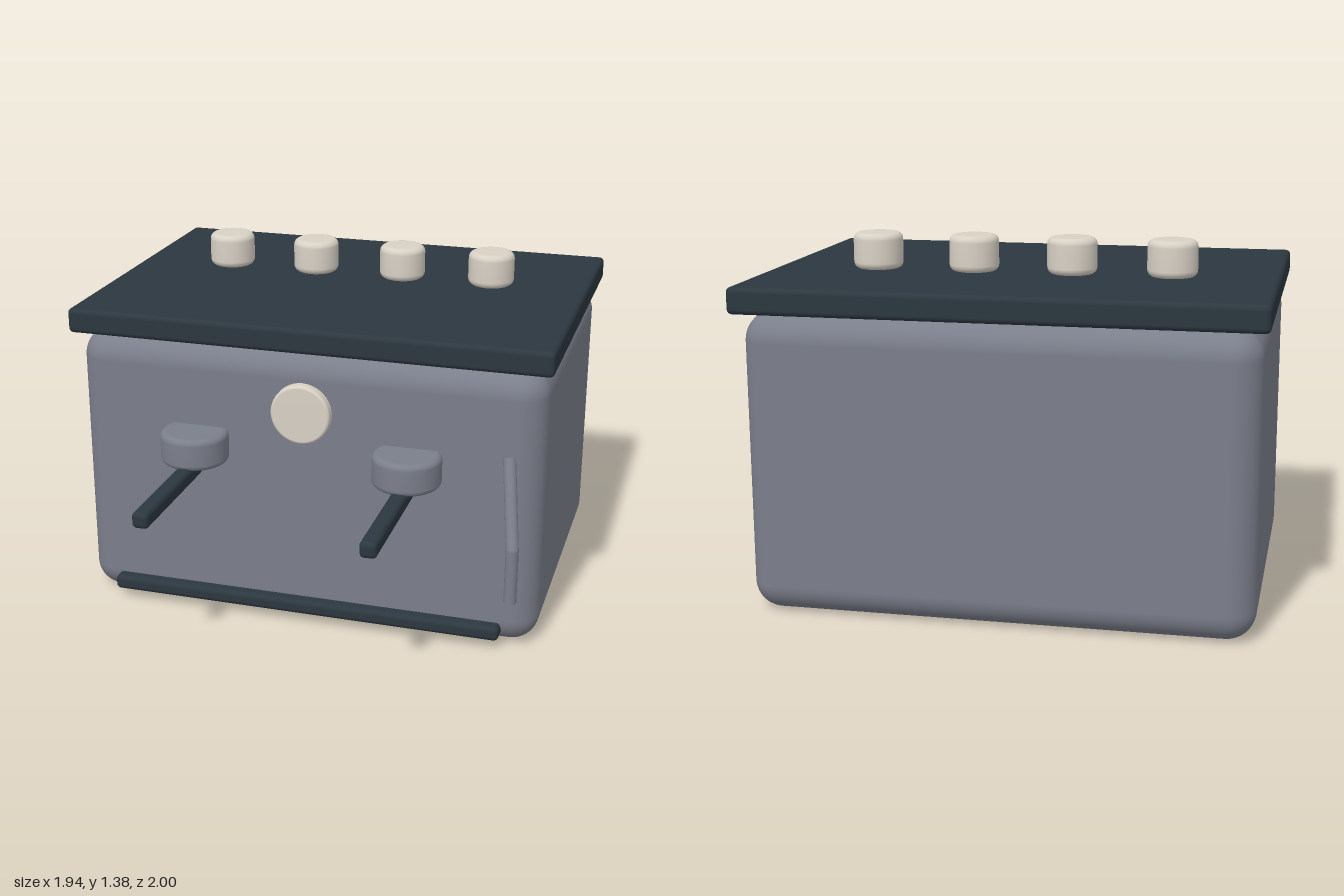
import * as THREE from 'three';
import { RoundedBoxGeometry } from 'three/addons/geometries/RoundedBoxGeometry.js';

const material = (name, color) => {
  const m = new THREE.MeshStandardMaterial({ color });
  m.name = name;
  return m;
};

// Box given by its limits on each axis, with rounded edges
function roundedBox([x0, x1], [y0, y1], [z0, z1], radius, segments = 3) {
  const g = new RoundedBoxGeometry(x1 - x0, y1 - y0, z1 - z0, segments, radius);
  return g.translate((x0 + x1) / 2, (y0 + y1) / 2, (z0 + z1) / 2);
}

// Upright cylinder standing on y = 0, with quarter-round rims
function roundedCylinder(radius, height, bevel) {
  const points = [new THREE.Vector2(0, 0)];
  for (const [y, start] of [[bevel, -Math.PI / 2], [height - bevel, 0]]) {
    for (let i = 0; i <= 4; i++) {
      const a = start + (i / 4) * (Math.PI / 2);
      points.push(new THREE.Vector2(radius - bevel + Math.cos(a) * bevel, y + Math.sin(a) * bevel));
    }
  }
  points.push(new THREE.Vector2(0, height));
  return new THREE.LatheGeometry(points, 40);
}

export function createModel() {
  const model = new THREE.Group();
  model.name = 'espressoMachine';
  const grey = material('steel grey', 0x7b7f8b);
  const dark = material('dark slate', 0x2c373f);
  const cream = material('cream', 0xd8d1c5);

  const add = (name, geometry, mat, parent = model) => {
    const mesh = new THREE.Mesh(geometry, mat);
    mesh.name = name;
    parent.add(mesh);
    return mesh;
  };

  // Housing, top plate and drip tray
  add('body', roundedBox([-0.945, 0.945], [0, 1.14], [-0.97, 0.38], 0.11, 6), grey);
  add('topPlate', roundedBox([-0.97, 0.97], [1.14, 1.24], [-1, 0.4], 0.02), dark);
  add('dripTray', roundedBox([-0.81, 0.81], [0.04, 0.1], [0.2, 0.43], 0.02), dark);

  // Row of cups on the top plate
  for (let i = 0; i < 4; i++) {
    add('cup', roundedCylinder(0.095, 0.14, 0.026), cream)
      .position.set(-0.57 + i * 0.38, 1.24, -0.43);
  }

  // Round gauge on the front
  const gauge = add('gauge', roundedCylinder(0.12, 0.06, 0.012), cream);
  gauge.rotation.x = Math.PI / 2;
  gauge.position.set(0, 0.9, 0.36);

  // Brew heads with their long handles
  for (const side of [-1, 1]) {
    const brewGroup = new THREE.Group();
    brewGroup.name = side > 0 ? 'leftBrewGroup' : 'rightBrewGroup';
    brewGroup.position.x = side * 0.432;
    model.add(brewGroup);
    add('brewHead', roundedCylinder(0.135, 0.13, 0.024), grey, brewGroup)
      .position.set(0, 0.67, 0.43);
    add('brewHandle', roundedBox([-0.033, 0.033], [0.618, 0.683], [0.43, 1], 0.02), dark, brewGroup);
  }

  // Bent steam wand
  const wand = new THREE.Group();
  wand.name = 'steamWand';
  model.add(wand);
  const path = [[0.815, 0.8, 0.37], [0.865, 0.49, 0.517], [0.865, 0.27, 0.517]]
    .map((p) => new THREE.Vector3(...p));
  for (let i = 0; i < 2; i++) {
    const along = path[i + 1].clone().sub(path[i]);
    const pipe = add('wandPipe', new THREE.CylinderGeometry(0.025, 0.025, along.length(), 16), grey, wand);
    pipe.position.copy(path[i]).addScaledVector(along, 0.5);
    pipe.quaternion.setFromUnitVectors(new THREE.Vector3(0, -1, 0), along.normalize());
  }
  add('wandElbow', new THREE.SphereGeometry(0.025, 16, 12), grey, wand).position.copy(path[1]);

  return model;
}
